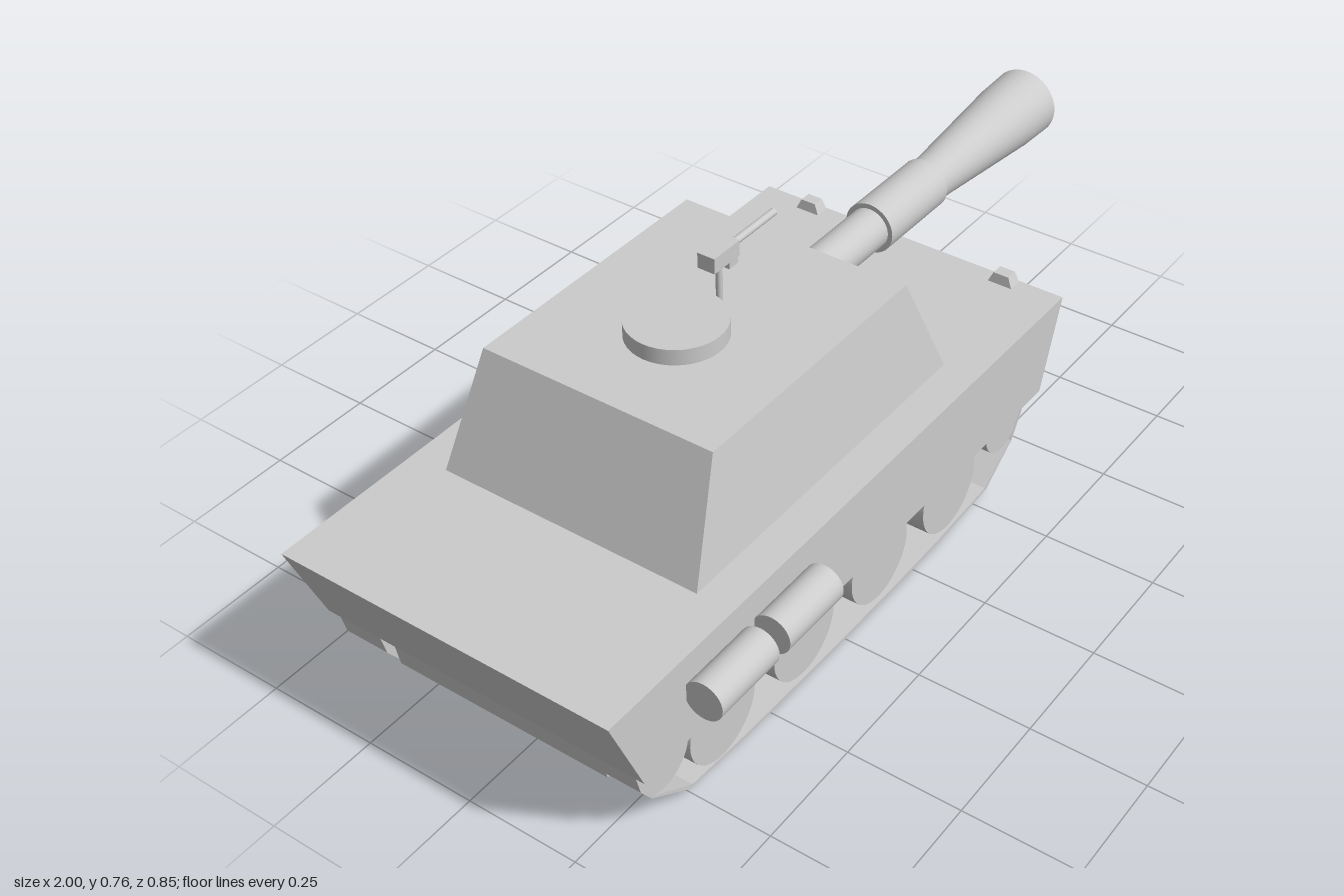
import * as THREE from 'three';

const MID = -0.03; // z of the vehicle's centre line
const material = new THREE.MeshStandardMaterial({ color: 0xcccccc });

export function createModel() {
  const root = new THREE.Group();

  function add(name, geometry, x = 0, y = 0, z = 0) {
    const mesh = new THREE.Mesh(geometry, material);
    mesh.name = name;
    mesh.position.set(x, y, z);
    root.add(mesh);
    return mesh;
  }

  // Box with separate bottom and top rectangles, each [x0, x1, z0, z1]
  function taperedBox(name, y0, y1, bottom, top) {
    const g = new THREE.BoxGeometry(1, 1, 1).toNonIndexed();
    const p = g.attributes.position;
    for (let i = 0; i < p.count; i++) {
      const r = p.getY(i) > 0 ? top : bottom;
      p.setXYZ(i, p.getX(i) > 0 ? r[1] : r[0], p.getY(i) > 0 ? y1 : y0, p.getZ(i) > 0 ? r[3] : r[2]);
    }
    g.computeVertexNormals();
    return add(name, g);
  }

  const box = (name, w, h, d, x, y, z) => add(name, new THREE.BoxGeometry(w, h, d), x, y, z);

  // Cylinder lying along x from x0 to x1
  const rod = (name, r, x0, x1, y, z, sides = 32) =>
    add(name, new THREE.CylinderGeometry(r, r, x1 - x0, sides).rotateZ(-Math.PI / 2), (x0 + x1) / 2, y, z);

  // Hull and belly
  taperedBox('upperHull', 0.19, 0.395, [-0.915, 0.455, -0.41, 0.35], [-1, 0.525, -0.41, 0.35]);
  taperedBox('lowerHull', 0.088, 0.19, [-0.87, 0.4, -0.28, 0.225], [-0.89, 0.43, -0.28, 0.225]);

  // Running gear on both sides
  const outline = [
    [-0.915, 0.2], [-0.9, 0.14], [-0.87, 0.098], [-0.76, 0.024], [-0.6, 0.012], [-0.35, 0.003], [-0.1, 0],
    [0.1, 0.004], [0.29, 0.018], [0.39, 0.09], [0.425, 0.15], [0.445, 0.2], [0.42, 0.24], [-0.89, 0.24],
  ].map(([x, y]) => new THREE.Vector2(x, y));
  const cx = -0.235, cy = 0.12;
  const inner = outline.map(p => new THREE.Vector2(cx + (p.x - cx) * 0.988, cy + (p.y - cy) * 0.93));
  const band = new THREE.Shape(outline);
  band.holes.push(new THREE.Path(inner));
  const wheels = [
    [-0.83, 0.162, 0.07], [-0.655, 0.125, 0.1], [-0.393, 0.125, 0.1],
    [-0.13, 0.125, 0.1], [0.132, 0.125, 0.1], [0.348, 0.162, 0.07],
  ];
  for (const z of [0.276, -0.332]) {
    const side = z > 0 ? 'left' : 'right';
    add(side + 'Track', new THREE.ExtrudeGeometry(band, { depth: 0.103, bevelEnabled: false }), 0, 0, z - 0.0515);
    for (const [x, y, r] of wheels)
      add(side + 'Wheel', new THREE.CylinderGeometry(r, r, 0.1, 40).rotateX(Math.PI / 2), x, y, z);
  }

  // Turret and hatch
  taperedBox('turret', 0.395, 0.637, [-0.65, 0.18, -0.327, 0.27], [-0.55, 0.075, -0.295, 0.237]);
  add('hatch', new THREE.CylinderGeometry(0.102, 0.102, 0.035, 40), -0.305, 0.6545, MID);

  // Main gun with a flared hollow muzzle
  rod('gunBarrel', 0.047, 0.08, 0.4, 0.517, MID);
  rod('gunSleeve', 0.058, 0.355, 0.572, 0.517, MID);
  const profile = (points) => new THREE.LatheGeometry(points.map(([r, x]) => new THREE.Vector2(r, x)), 32).rotateZ(-Math.PI / 2);
  add('muzzleFlare', profile([[0.05, 0.56], [0.053, 0.62], [0.078, 0.92], [0.08, 1]]), 0, 0.517, MID);
  add('muzzleRim', profile([[0.08, 1], [0.067, 1]]), 0, 0.517, MID);
  add('muzzleBore', profile([[0.067, 1], [0.052, 0.75]]), 0, 0.517, MID);
  add('muzzleBoreEnd', profile([[0.052, 0.75], [0, 0.75]]), 0, 0.517, MID);

  // Roof machine gun
  add('machineGunPost', new THREE.CylinderGeometry(0.007, 0.007, 0.095, 16), -0.17, 0.6825, MID);
  box('machineGunBody', 0.08, 0.034, 0.04, -0.17, 0.741, MID);
  box('machineGunMagazine', 0.028, 0.02, 0.033, -0.145, 0.716, MID);
  rod('machineGunBarrel', 0.008, -0.14, 0.01, 0.741, MID, 16);

  // Side drums
  for (const x of [-0.79, -0.587]) rod('sideDrum', 0.042, x, x + 0.17, 0.31, 0.387);

  // Rungs on the opposite side, each a bent staple
  for (let i = 0; i < 6; i++) {
    const y = 0.21 + i * 0.034;
    box('rung', 0.096, 0.007, 0.007, -0.288, y, -0.422);
    for (const x of [-0.3325, -0.2435]) box('rungLeg', 0.007, 0.007, 0.02, x, y, -0.414);
  }

  // Headlights
  for (const z of [0.217, -0.28])
    taperedBox('headlight', 0.394, 0.418, [0.488, 0.522, z - 0.029, z + 0.029], [0.492, 0.52, z - 0.018, z + 0.018]);

  return root;
}
